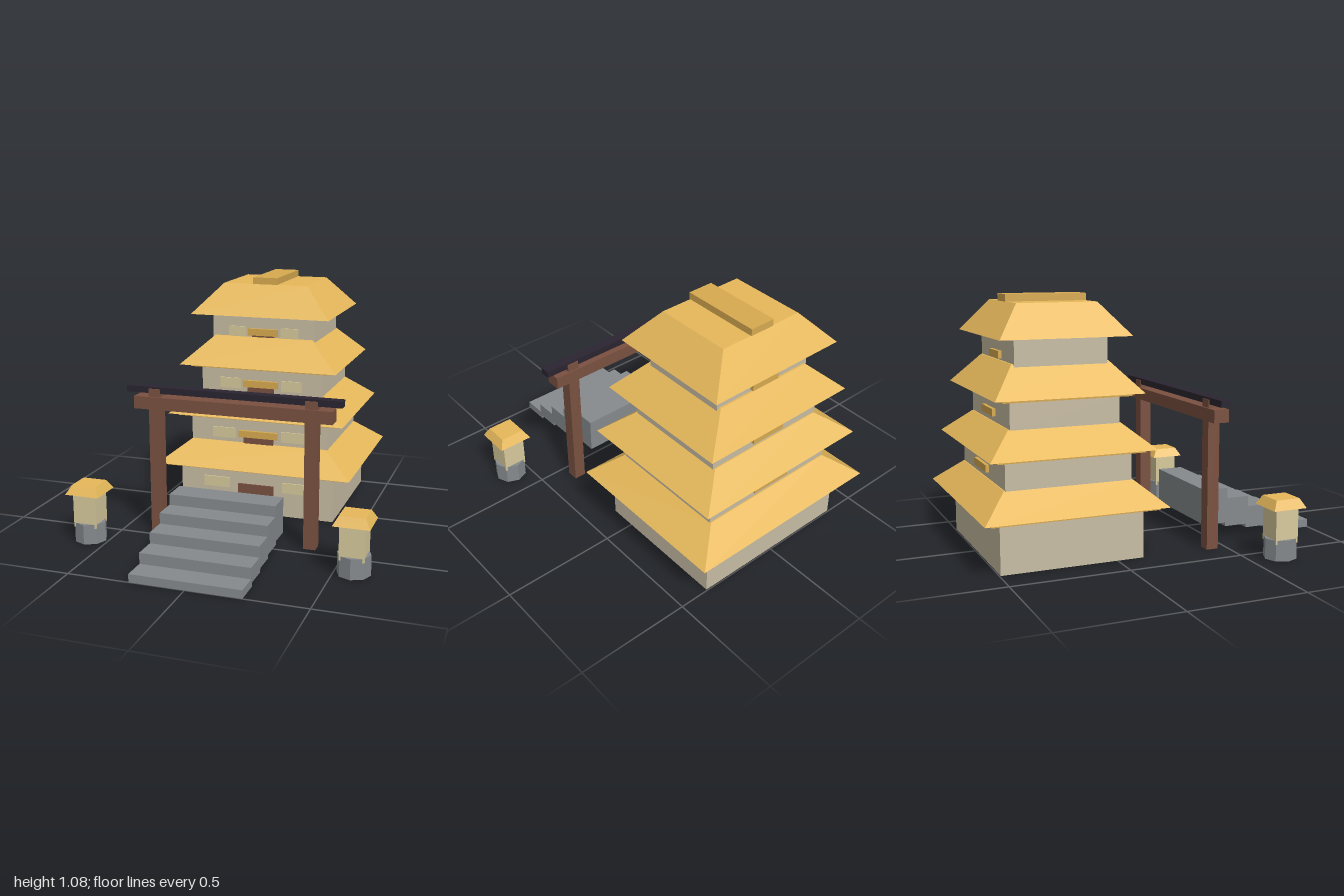
import * as THREE from 'three';

const mat = (color) => new THREE.MeshStandardMaterial({ color, flatShading: true });

export function createModel() {
  const model = new THREE.Group();
  const gold = mat(0xe6b85a), trimGold = mat(0xd8aa50), wall = mat(0xc8bda4), cream = mat(0xd8ca9c);
  const wood = mat(0x7a5140), dark = mat(0x2a2430), stone = mat(0x868a8d);

  const add = (parent, name, geometry, material) => {
    const mesh = new THREE.Mesh(geometry, material);
    mesh.name = name;
    parent.add(mesh);
    return mesh;
  };
  // Box given by its width, depth, vertical range and centre
  const box = (parent, name, material, w, d, y0, y1, x = 0, z = 0) => {
    const mesh = add(parent, name, new THREE.BoxGeometry(w, y1 - y0, d), material);
    mesh.position.set(x, (y0 + y1) / 2, z);
    return mesh;
  };
  // Box whose top face is narrowed to make a hipped roof
  const hipRoof = (parent, name, bottom, top, y0, y1) => {
    const mesh = box(parent, name, gold, bottom[0] * 2, bottom[1] * 2, y0, y1);
    const p = mesh.geometry.attributes.position;
    for (let i = 0; i < p.count; i++) {
      if (p.getY(i) > 0) {
        p.setX(i, Math.sign(p.getX(i)) * top[0]);
        p.setZ(i, Math.sign(p.getZ(i)) * top[1]);
      }
    }
    mesh.geometry.computeVertexNormals();
    return mesh;
  };

  // Tower: four tiers, all sizes are half-extents [x, z]
  const tower = new THREE.Group();
  tower.name = 'tower';
  tower.position.z = -0.19;
  model.add(tower);
  const tiers = [
    { y: 0, body: [0.365, 0.305], trim: [0.425, 0.355], eave: 0.225, base: [0.455, 0.387], top: [0.322, 0.273], peak: 0.327 },
    { y: 0.325, body: [0.325, 0.268], trim: [0.377, 0.313], eave: 0.458, base: [0.412, 0.35], top: [0.278, 0.238], peak: 0.56 },
    { y: 0.558, body: [0.285, 0.233], trim: [0.326, 0.273], eave: 0.685, base: [0.367, 0.314], top: [0.23, 0.206], peak: 0.812 },
    { y: 0.8, body: [0.242, 0.198], eave: 0.915, base: [0.322, 0.278], top: [0.197, 0.172], peak: 1.05 },
  ];
  tiers.forEach((t, i) => {
    const tier = new THREE.Group();
    tier.name = `tier${i + 1}`;
    tower.add(tier);
    box(tier, 'wall', wall, t.body[0] * 2, t.body[1] * 2, t.y, t.trim ? t.eave - 0.013 : t.eave);
    if (t.trim) box(tier, 'eaveTrim', trimGold, t.trim[0] * 2, t.trim[1] * 2, t.eave - 0.013, t.eave);
    hipRoof(tier, 'roof', t.base, t.top, t.eave, t.peak);

    // Doors, windows and balconies
    const front = t.body[1], s = t.body[0] / 0.325;
    const winY = i === 0 ? 0.115 : t.y + [0, 0.02, 0.017, 0.01][i];
    const winX = i === 0 ? 0.19 : 0.166 * s;
    for (const side of [-1, 1]) {
      box(tier, 'window', cream, i === 0 ? 0.125 : 0.112 * s, 0.012, winY, winY + 0.048, side * winX, front);
    }
    if (i === 0) {
      box(tier, 'door', wood, 0.17, 0.014, 0.01, 0.14, 0, front);
    } else {
      box(tier, 'door', wood, 0.142 * s, 0.014, t.y, winY + 0.02, 0, front);
      for (const side of [-1, 1]) {
        box(tier, 'balcony', trimGold, 0.184 * s, 0.03, winY + 0.01, winY + 0.041, 0, side * front);
      }
    }
  });
  box(tower, 'ridge', trimGold, 0.114, 0.352, 1.05, 1.08);

  // Gate
  const gate = new THREE.Group();
  gate.name = 'gate';
  gate.position.z = 0.432;
  model.add(gate);
  for (const side of [-1, 1]) box(gate, 'pillar', wood, 0.053, 0.053, 0, 0.645, side * 0.348);
  box(gate, 'crossBeam', wood, 0.88, 0.068, 0.555, 0.61);
  box(gate, 'topBeam', dark, 0.955, 0.046, 0.625, 0.653);

  // Staircase
  const stairs = new THREE.Group();
  stairs.name = 'stairs';
  model.add(stairs);
  for (let i = 0; i < 5; i++) {
    box(stairs, 'step', stone, 0.47, 0.115, 0.0165 * i, 0.035 + 0.047 * i, 0, 0.9425 - 0.105 * i);
  }

  // Stone lanterns
  for (const side of [-1, 1]) {
    const lantern = new THREE.Group();
    lantern.name = 'lantern';
    lantern.position.set(side * 0.581, 0, 0.638);
    model.add(lantern);
    add(lantern, 'lanternBase', new THREE.CylinderGeometry(0.07, 0.07, 0.087, 8), stone).position.y = 0.0435;
    box(lantern, 'lanternBody', cream, 0.104, 0.104, 0.07, 0.218);
    hipRoof(lantern, 'lanternRoof', [0.076, 0.076], [0.054, 0.054], 0.218, 0.257);
  }
  return model;
}
